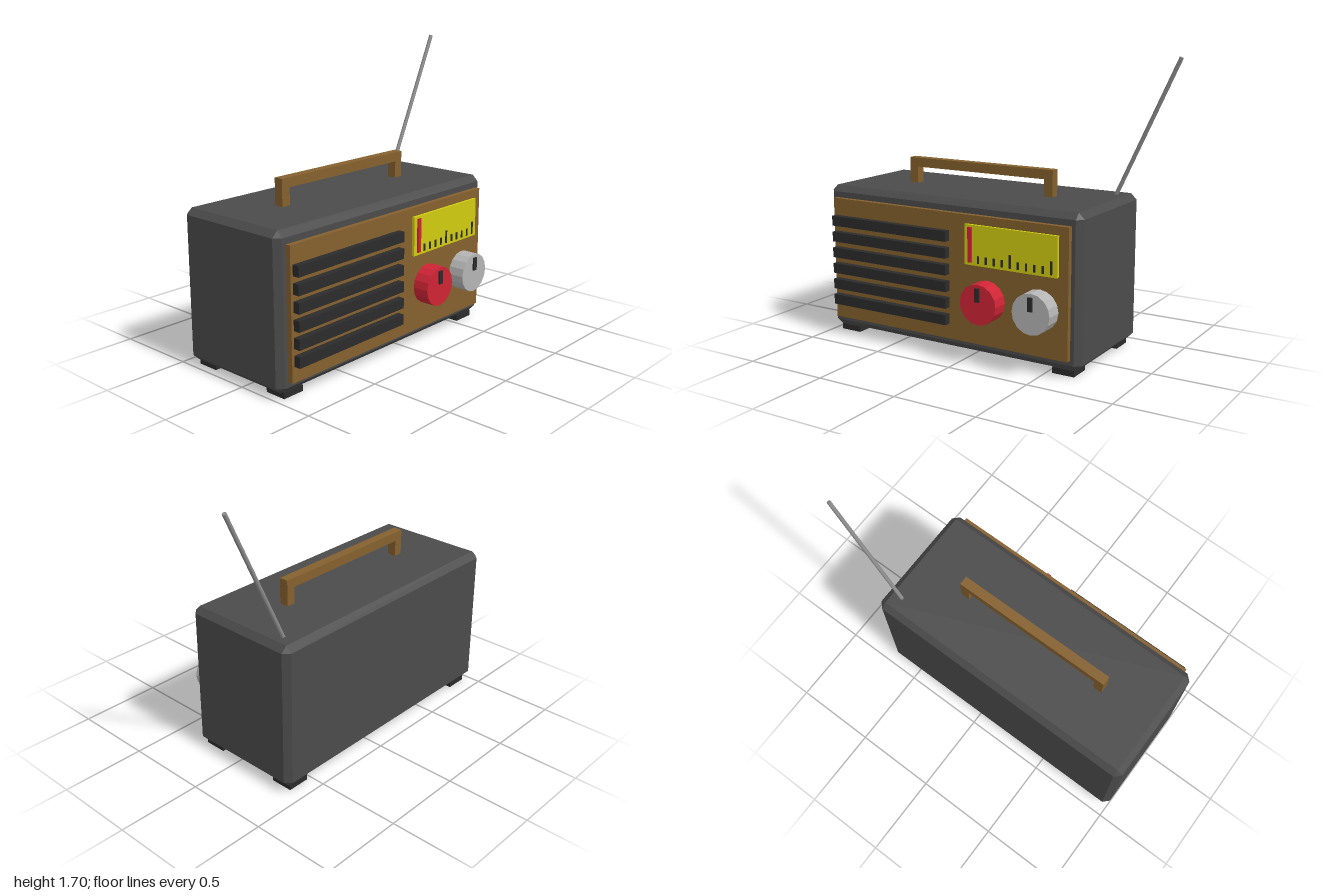
import * as THREE from 'three';
import { ConvexGeometry } from 'three/addons/geometries/ConvexGeometry.js';

const paint = (name, color) => {
  const m = new THREE.MeshStandardMaterial({ color });
  m.name = name;
  return m;
};

export function createModel() {
  const charcoal = paint('charcoal casing', 0x4b4b4b);
  const black = paint('black plastic', 0x2b2b2b);
  const brown = paint('brown wood', 0x85602e);
  const yellow = paint('yellow dial', 0xd0cc10);
  const red = paint('red', 0xcf2435);
  const silver = paint('silver', 0xb4b4b4);
  const steel = paint('antenna steel', 0x8c8c8c);

  const radio = new THREE.Group();
  radio.name = 'radio';
  const add = (name, geometry, material) => {
    const mesh = new THREE.Mesh(geometry, material);
    mesh.name = name;
    radio.add(mesh);
    return mesh;
  };
  // Box given by its limits on each axis
  const box = (name, material, [x0, x1], [y0, y1], [z0, z1]) =>
    add(name, new THREE.BoxGeometry(x1 - x0, y1 - y0, z1 - z0), material)
      .position.set((x0 + x1) / 2, (y0 + y1) / 2, (z0 + z1) / 2);

  // Casing: a box with every edge chamfered
  const half = [0.855, 0.4375, 0.368], bevel = 0.035, corners = [];
  for (const sx of [-1, 1]) for (const sy of [-1, 1]) for (const sz of [-1, 1])
    for (let axis = 0; axis < 3; axis++) {
      const c = half.map((h, i) => (i === axis ? h : h - bevel));
      corners.push(new THREE.Vector3(c[0] * sx, c[1] * sy, c[2] * sz));
    }
  add('casing', new ConvexGeometry(corners), charcoal).position.set(-0.145, 0.4725, -0.069);

  // Feet
  for (const x of [-0.95, 0.53]) for (const z of [-0.405, 0.14])
    box('foot', black, [x, x + 0.135], [0, 0.036], [z, z + 0.133]);

  // Front panel and speaker slats
  box('frontPanel', brown, [-0.943, 0.653], [0.1, 0.84], [0.28, 0.33]);
  for (let i = 0; i < 6; i++) {
    const y = 0.22 + i * 0.0975;
    box('speakerSlat', black, [-0.927, -0.106], [y - 0.03, y + 0.03], [0.32, 0.37]);
  }

  // Tuning dial with needle and scale marks
  box('dial', yellow, [0.01, 0.595], [0.56, 0.79], [0.32, 0.347]);
  box('dialNeedle', red, [0.035, 0.06], [0.577, 0.777], [0.345, 0.357]);
  for (let i = 0; i < 10; i++) {
    const x = 0.1 + i * 0.051, tall = i % 5 === 4;
    box('dialMark', black, [x - 0.006, x + 0.006], [0.575, tall ? 0.65 : 0.617], [0.345, 0.352]);
  }

  // Knobs with pointers
  for (const [x, material] of [[0.147, red], [0.48, silver]]) {
    const knob = new THREE.CylinderGeometry(0.116, 0.116, 0.11, 16).toNonIndexed();
    knob.rotateX(Math.PI / 2);
    knob.computeVertexNormals();
    add('knob', knob, material).position.set(x, 0.365, 0.375);
    box('knobPointer', black, [x - 0.014, x + 0.014], [0.382, 0.46], [0.42, 0.44]);
  }

  // Carrying handle: one bracket-shaped extrusion
  const outline = [[-0.64, 0.9], [-0.584, 0.9], [-0.584, 1.01], [0.297, 1.01],
    [0.297, 0.9], [0.353, 0.9], [0.353, 1.066], [-0.64, 1.066]];
  const bracket = new THREE.Shape(outline.map(p => new THREE.Vector2(...p)));
  add('handle', new THREE.ExtrudeGeometry(bracket, { depth: 0.056, bevelEnabled: false }), brown)
    .position.z = -0.096;

  // Leaning antenna
  const base = new THREE.Vector3(0.604, 0.88, -0.323), tip = new THREE.Vector3(0.986, 1.7, -0.323);
  const lean = tip.clone().sub(base);
  const antenna = add('antenna', new THREE.CylinderGeometry(0.012, 0.012, lean.length(), 10), steel);
  antenna.position.copy(base).add(tip).multiplyScalar(0.5);
  antenna.quaternion.setFromUnitVectors(new THREE.Vector3(0, 1, 0), lean.normalize());

  return radio;
}
